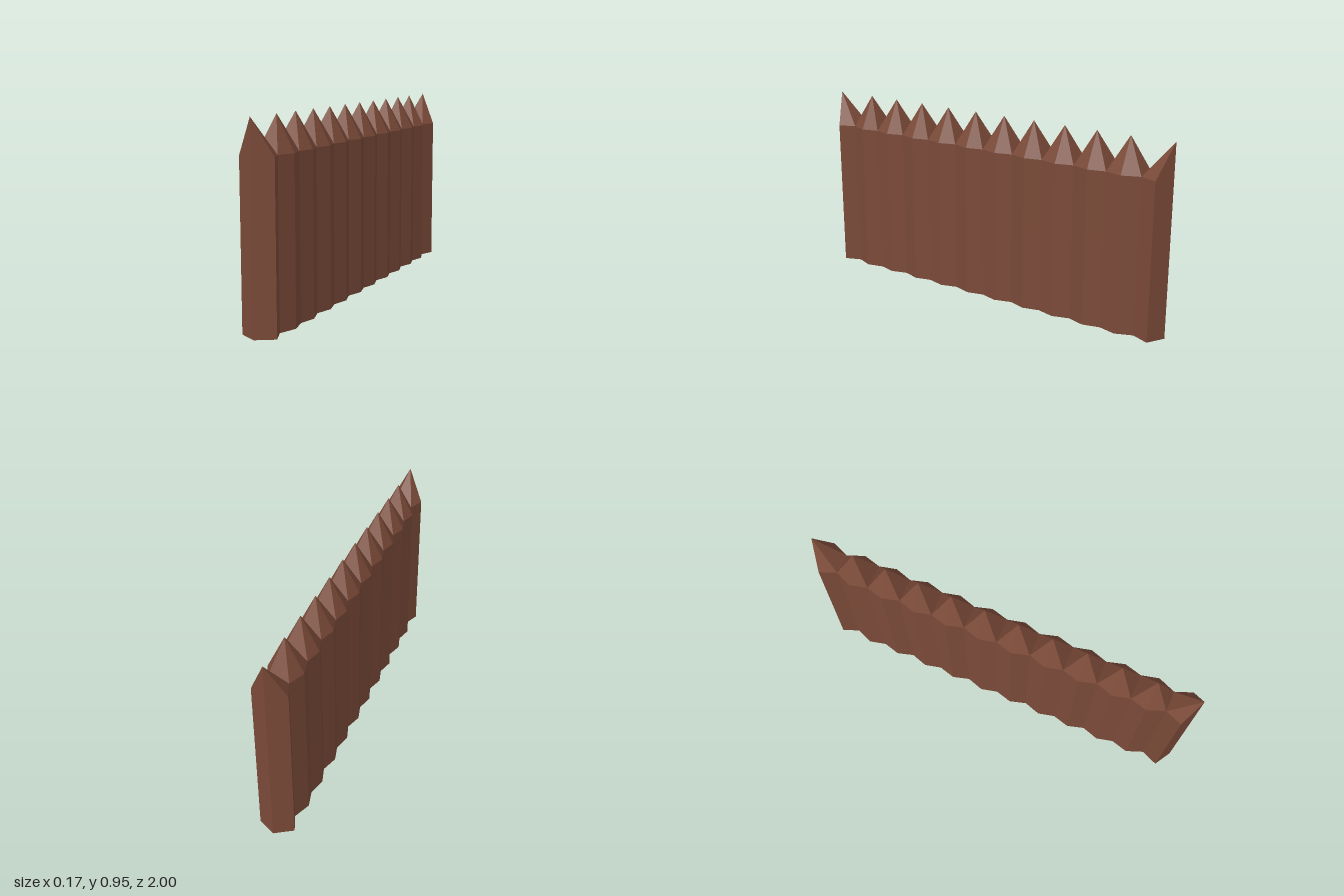
import * as THREE from 'three';

const SPACING = 0.173, WIDE = 0.086, SHOULDER = 0.78, TIP = 0.95;

// One closed stake: ring of [x, z] corners (counter-clockwise from above), tip at tipZ.
// Walls buried between two neighbouring stakes are left out.
function stakeGeometry(ring, centreZ, tipZ) {
  const pos = [];
  const tri = (...points) => points.forEach((p) => pos.push(...p));
  ring.forEach((a, i) => {
    const b = ring[(i + 1) % ring.length];
    const a0 = [a[0], 0, a[1]], b0 = [b[0], 0, b[1]];
    const a1 = [a[0], SHOULDER, a[1]], b1 = [b[0], SHOULDER, b[1]];
    if (a[1] !== b[1]) {
      tri(a0, b0, b1);
      tri(a0, b1, a1);
    }
    tri(a1, b1, [0, TIP, tipZ]);
    tri(b0, a0, [0, 0, centreZ]);
  });
  const geometry = new THREE.BufferGeometry();
  geometry.setAttribute('position', new THREE.Float32BufferAttribute(pos, 3));
  geometry.computeVertexNormals();
  return geometry;
}

export function createModel() {
  const group = new THREE.Group();
  group.name = 'palisade';
  const wood = new THREE.MeshStandardMaterial({ color: 0x7a4a38 });
  wood.name = 'brown wood';

  const add = (name, ring, centreZ, tipZ) => {
    const mesh = new THREE.Mesh(stakeGeometry(ring, centreZ, tipZ), wood);
    mesh.name = name;
    group.add(mesh);
  };

  // Necks between stakes, slightly uneven
  const neckZ = (i) => (i - 5) * SPACING;
  const neckX = (i) => (i === 0 || i === 10 ? 0.052 : 0.06 + 0.004 * (i % 2));

  // Ten six-sided stakes in a row
  for (let i = 0; i < 10; i++) {
    const back = neckZ(i), front = neckZ(i + 1), z = (back + front) / 2;
    const b = neckX(i), f = neckX(i + 1);
    add('stake' + (i + 1),
      [[f, front], [WIDE, z], [b, back], [-b, back], [-WIDE, z], [-f, front]], z, z);
  }

  // End stakes, with the tip directly above the outer edge
  const n = neckX(0), inner = neckZ(10);
  const end = [[0, 1], [WIDE, 0.95], [n, inner], [-n, inner], [-WIDE, 0.95]];
  add('frontEndStake', end, 0.93, 1);
  add('backEndStake', end.map(([x, z]) => [-x, -z]), -0.93, -1);
  return group;
}
